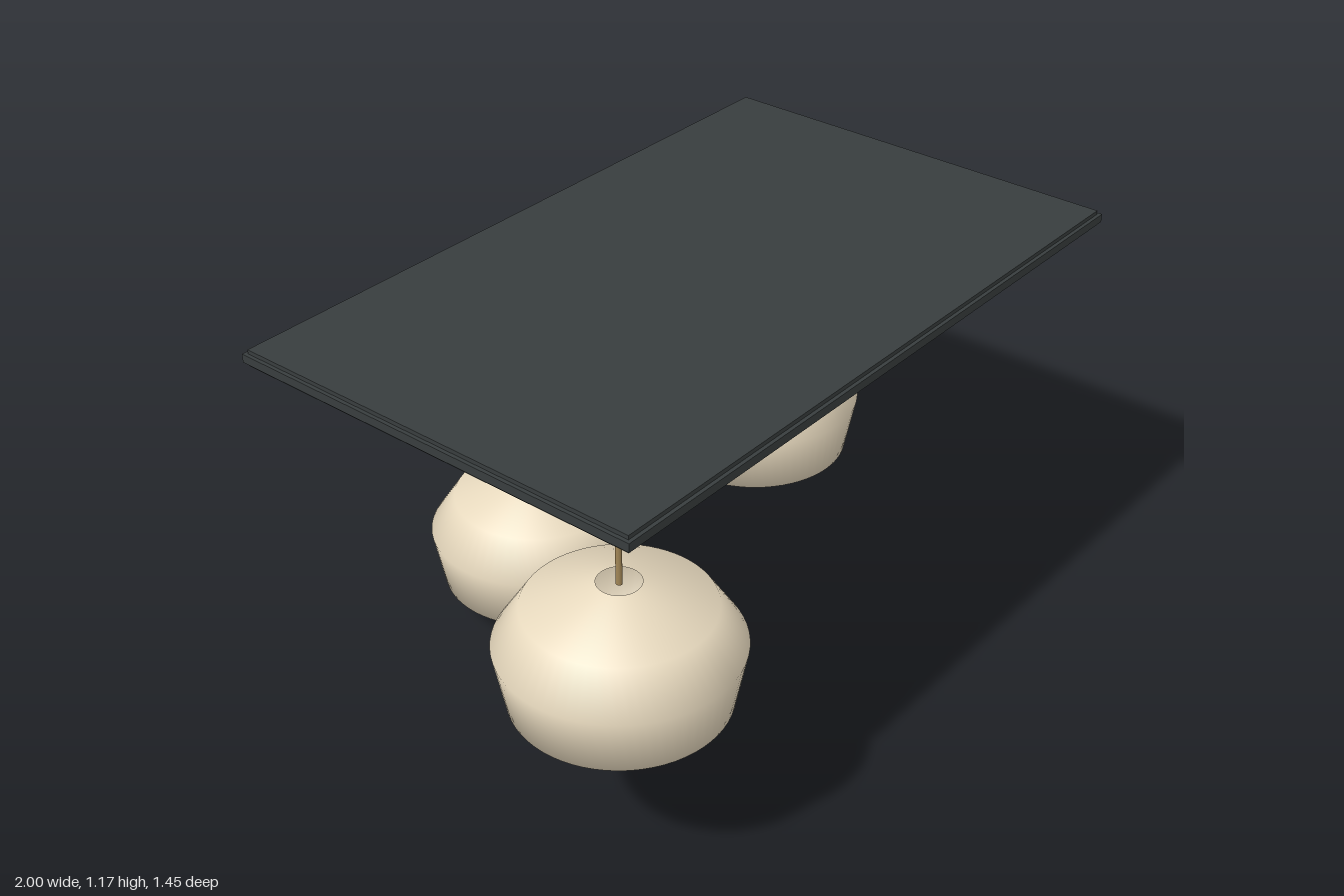
import * as THREE from 'three';

const shadeMat = new THREE.MeshStandardMaterial({ color: 0xe6d8bd, side: THREE.DoubleSide });
const rodMat = new THREE.MeshStandardMaterial({ color: 0xa08556 });
const plateMat = new THREE.MeshStandardMaterial({ color: 0x383d3e });

const PLATE_BOTTOM = 1.13;

// Faceted shade profile: radius, height above the shade's bottom rim
const PROFILE = [
  [0.075, 0], [0.275, 0.1], [0.305, 0.26], [0.235, 0.367], [0.055, 0.432],
].map(([r, y]) => new THREE.Vector2(r, y));

function part(name, geometry, material, x, y, z) {
  const mesh = new THREE.Mesh(geometry, material);
  mesh.name = name;
  mesh.position.set(x, y, z);
  return mesh;
}

// One pendant: open shade hanging from a thin rod
function createPendant(name, x, bottom, z) {
  const pendant = new THREE.Group();
  pendant.name = name;
  pendant.position.set(x, 0, z);
  pendant.add(part('shade', new THREE.LatheGeometry(PROFILE, 64), shadeMat, 0, bottom, 0));

  const rodEnd = bottom + 0.425;
  const length = PLATE_BOTTOM + 0.005 - rodEnd;
  const rod = new THREE.CylinderGeometry(0.008, 0.008, length, 16);
  pendant.add(part('rod', rod, rodMat, 0, rodEnd + length / 2, 0));
  return pendant;
}

export function createModel() {
  const model = new THREE.Group();
  model.name = 'pendantLamp';

  // Ceiling plate with a slightly projecting rim around its middle
  const plate = new THREE.Group();
  plate.name = 'ceilingPlate';
  plate.position.set(0.028, PLATE_BOTTOM + 0.0225, 0.064);
  plate.add(
    part('plateBody', new THREE.BoxGeometry(1.924, 0.045, 1.184), plateMat, 0, 0, 0),
    part('plateRim', new THREE.BoxGeometry(1.944, 0.023, 1.204), plateMat, 0, 0, 0),
  );
  model.add(plate);

  model.add(
    createPendant('rightPendant', -0.695, 0.374, 0.418),
    createPendant('middlePendant', -0.086, 0.003, -0.418),
    createPendant('leftPendant', 0.581, 0.228, -0.166),
  );
  return model;
}
